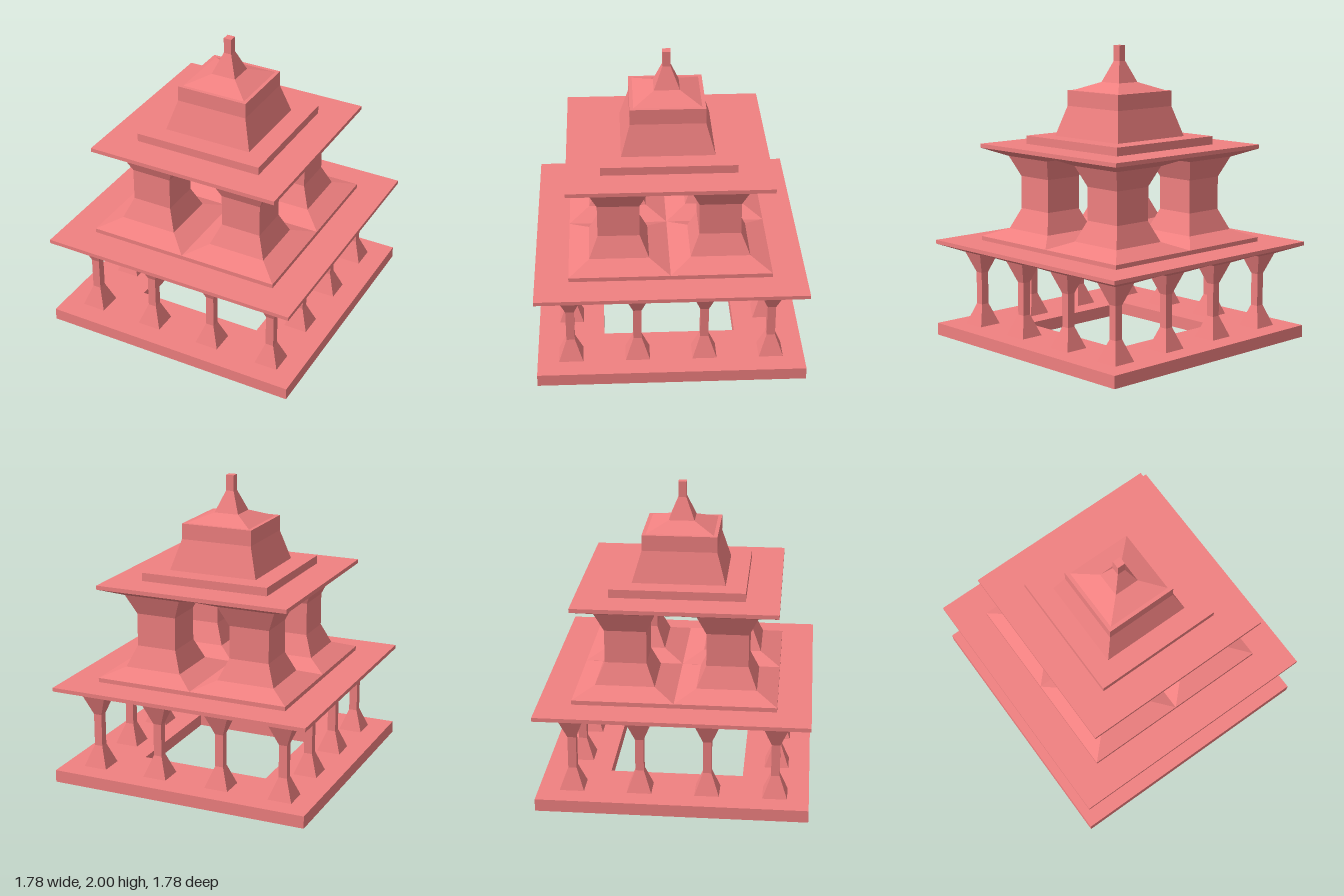
import * as THREE from 'three';

const material = new THREE.MeshStandardMaterial({ color: 0xf08080, flatShading: true });

function add(parent, name, geometry, x = 0, y = 0, z = 0) {
  const mesh = new THREE.Mesh(geometry, material);
  mesh.name = name;
  mesh.position.set(x, y, z);
  parent.add(mesh);
  return mesh;
}

// Square tower from [half width, height] pairs, listed bottom to top
function squareLoft(profile) {
  const points = profile.map(([half, y]) => new THREE.Vector2(half * Math.SQRT2, y));
  return new THREE.LatheGeometry(points, 4, Math.PI / 4);
}

// Square plate between two heights
function plate(half, y0, y1) {
  return new THREE.BoxGeometry(2 * half, y1 - y0, 2 * half).translate(0, (y0 + y1) / 2, 0);
}

// Square plate with a square opening in the middle
function ringPlate(half, hole, y0, y1) {
  const square = (s) => [[-s, -s], [s, -s], [s, s], [-s, s]].map(([x, y]) => new THREE.Vector2(x, y));
  const shape = new THREE.Shape(square(half));
  shape.holes.push(new THREE.Path(square(hole).reverse()));
  return new THREE.ExtrudeGeometry(shape, { depth: y1 - y0, bevelEnabled: false })
    .rotateX(-Math.PI / 2)
    .translate(0, y0, 0);
}

export function createModel() {
  const model = new THREE.Group();
  model.name = 'pavilion';
  const cell = 4 / 9;

  // Base and lower roof, both open in the middle
  add(model, 'base', ringPlate(2 * cell, cell, 0, 0.083));
  add(model, 'lowerRoof', ringPlate(2 * cell, cell, 0.642, 0.668));

  // Twelve slender columns around the edge
  const columns = new THREE.Group();
  columns.name = 'lowerColumns';
  model.add(columns);
  const columnGeometry = squareLoft([
    [0.081, 0.083], [0.028, 0.225], [0.028, 0.447], [0.081, 0.586], [cell / 2, 0.642],
  ]);
  for (let i = 0; i < 4; i++) {
    for (let j = 0; j < 4; j++) {
      if (i % 3 && j % 3) continue;
      add(columns, 'lowerColumn', columnGeometry, (i - 1.5) * cell, 0, (j - 1.5) * cell);
    }
  }

  // Upper storey: floor, four stout pillars, roof
  add(model, 'upperFloor', plate(1.5 * cell, 0.668, 0.697));
  const pillars = new THREE.Group();
  pillars.name = 'upperPillars';
  model.add(pillars);
  const pillarGeometry = squareLoft([
    [0.333, 0.697], [0.197, 0.753], [0.138, 0.892], [0.138, 1.114], [0.197, 1.25], [0.333, 1.306],
  ]);
  for (const x of [-1, 1]) {
    for (const z of [-1, 1]) add(pillars, 'upperPillar', pillarGeometry, x / 3, 0, z / 3);
  }
  add(model, 'upperRoof', plate(1.5 * cell, 1.306, 1.333));

  // Stepped crown and spire
  add(model, 'crownStep', plate(cell, 1.333, 1.389));
  add(model, 'crown', squareLoft([[0.307, 1.389], [0.247, 1.592], [0.247, 1.697], [0, 1.697]]));
  add(model, 'spire', squareLoft([
    [0.222, 1.697], [0.085, 1.753], [0.027, 1.895], [0.027, 2], [0, 2],
  ]));
  return model;
}
